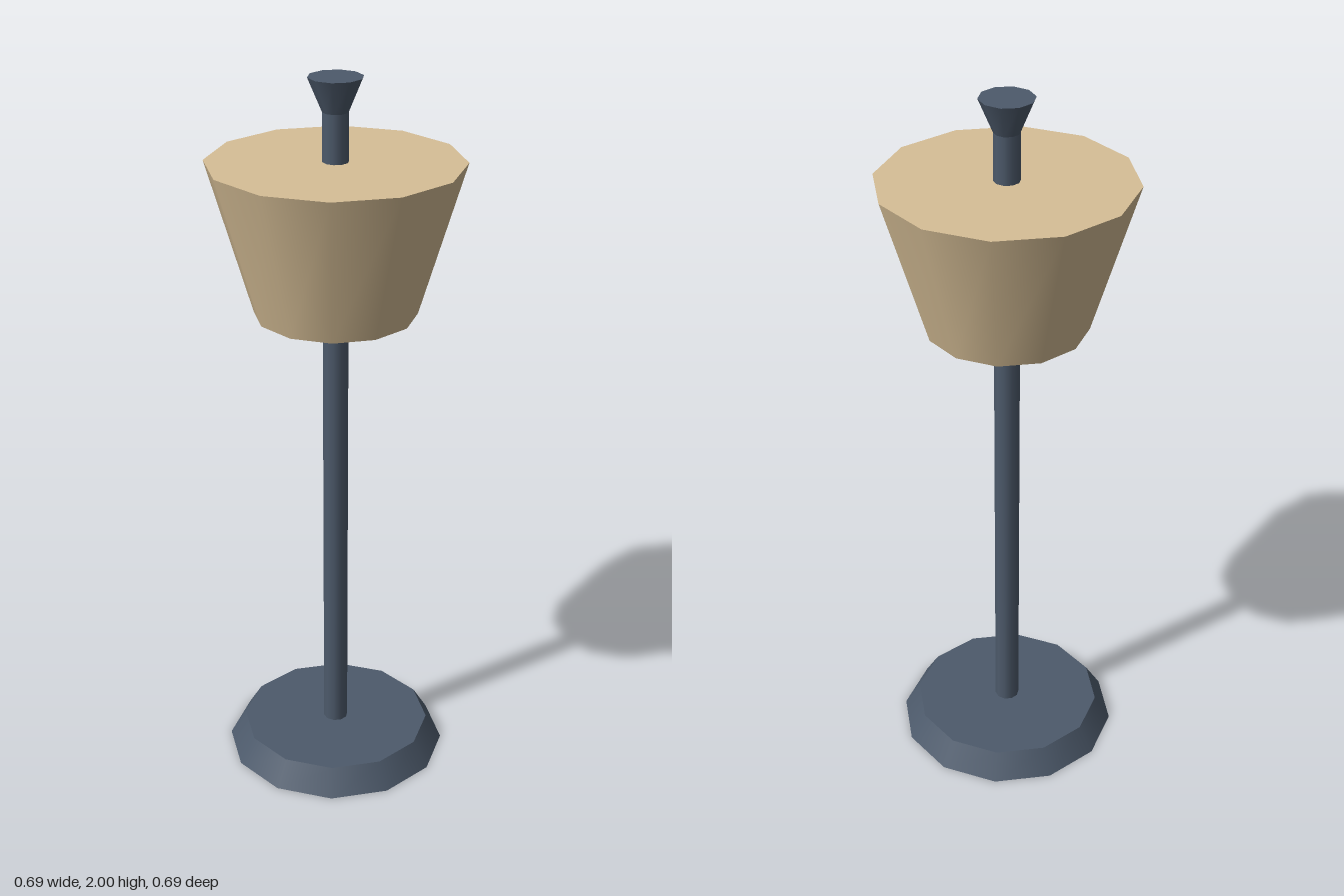
import * as THREE from 'three';

export function createModel() {
  const lamp = new THREE.Group();
  lamp.name = 'tableLamp';
  const metal = new THREE.MeshStandardMaterial({ color: 0x4d5a6b });
  const fabric = new THREE.MeshStandardMaterial({ color: 0xd6be96 });

  // Capped, tapered section standing between two heights
  function section(name, material, bottomRadius, topRadius, y0, y1, sides) {
    const geometry = new THREE.CylinderGeometry(topRadius, bottomRadius, y1 - y0, sides);
    const mesh = new THREE.Mesh(geometry, material);
    mesh.name = name;
    mesh.position.y = (y0 + y1) / 2;
    lamp.add(mesh);
  }

  section('base', metal, 0.315, 0.27, 0, 0.073, 12);
  section('pole', metal, 0.035, 0.035, 0.073, 1.91, 10);
  section('shade', fabric, 0.22, 0.343, 1.365, 1.78, 12);
  section('finial', metal, 0.035, 0.073, 1.91, 2, 10);

  return lamp;
}
